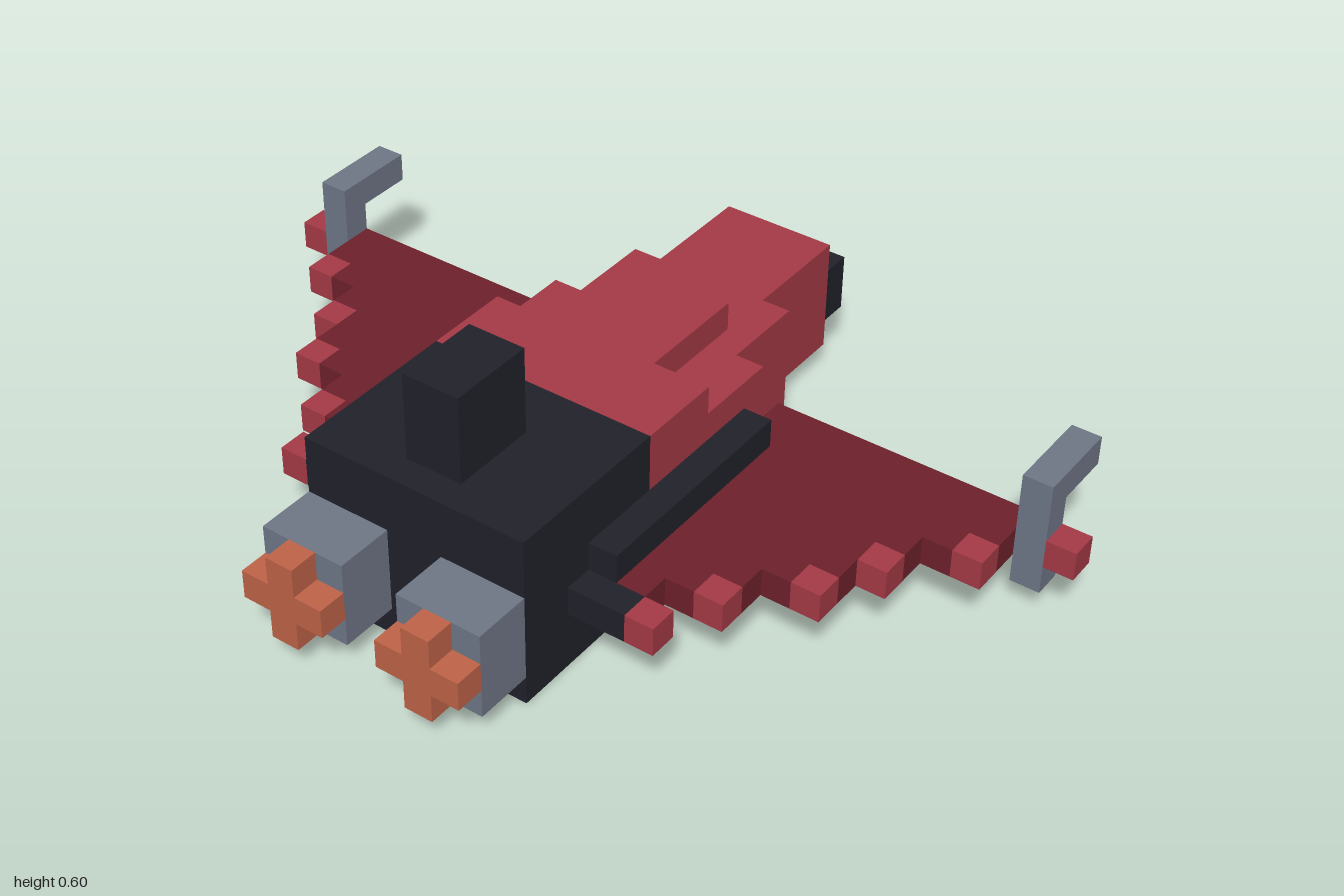
import * as THREE from 'three';

const U = 1 / 15; // one block of the grid

const mat = (name, color) => {
  const m = new THREE.MeshStandardMaterial({ color });
  m.name = name;
  return m;
};

export function createModel() {
  const red = mat('hull red', 0xa53a46);
  const darkRed = mat('wing dark red', 0x6e212b);
  const black = mat('charcoal', 0x21212b);
  const grey = mat('steel grey', 0x6f7787);
  const orange = mat('flame orange', 0xbf6348);

  const model = new THREE.Group();
  model.name = 'starship';

  // Box given by its limits in blocks
  const box = (name, material, [x0, x1], [y0, y1], [z0, z1], parent = model) => {
    const g = new THREE.BoxGeometry((x1 - x0) * U, (y1 - y0) * U, (z1 - z0) * U);
    g.translate((x0 + x1) / 2 * U, (y0 + y1) / 2 * U, (z0 + z1) / 2 * U);
    const mesh = new THREE.Mesh(g, material);
    mesh.name = name;
    parent.add(mesh);
  };

  // Hull, from the engine end to the nose
  box('engineBlock', black, [-4, 4], [0, 6], [2.5, 8.5]);
  box('fin', black, [-1, 1], [6, 9], [4.5, 7.5]);
  box('midHull', red, [-4, 4], [0, 6], [-0.5, 2.5]);
  box('foreHull', red, [-4, 4], [1, 5], [-3.5, -0.5]);
  box('neck', red, [-3, 3], [1, 5], [-6.5, -3.5]);
  box('nose', red, [-2, 2], [1, 5], [-10.5, -6.5]);
  box('canopy', red, [-2, 2], [5, 6], [-4.5, -0.5]);
  box('noseWindow', black, [-2, 2], [2, 4], [-11.5, -10.5]);
  box('noseSensor', grey, [-1, 1], [1, 2], [-11.5, -10.5]);

  // Wing outline: front edge of the dark plate as [outer x, z where it ends]
  const steps = [[13, -2.5], [12, -1.5], [11, -0.5], [10, 1.5], [9, 2.5], [8, 3.5], [7, 4.5], [6, 5.5]];
  // Bright blocks on the stepped edge: inner x, rear z
  const studs = [[14, -4.5], [12, -2.5], [10, -0.5], [9, 1.5], [7, 3.5], [6, 5.5]];

  for (const s of [1, -1]) {
    const side = new THREE.Group();
    side.name = s > 0 ? 'leftSide' : 'rightSide';
    model.add(side);
    const sideBox = (name, m, [x0, x1], y, z) =>
      box(name, m, s > 0 ? [x0, x1] : [-x1, -x0], y, z, side);

    // Wing plate
    const pts = [new THREE.Vector2(s * 4 * U, -4.5 * U)];
    let z = -4.5;
    for (const [x, zEnd] of steps) {
      pts.push(new THREE.Vector2(s * x * U, z * U), new THREE.Vector2(s * x * U, zEnd * U));
      z = zEnd;
    }
    pts.push(new THREE.Vector2(s * 4 * U, z * U));
    const plate = new THREE.ExtrudeGeometry(new THREE.Shape(pts), { depth: U, bevelEnabled: false });
    plate.rotateX(Math.PI / 2).translate(0, 3 * U, 0);
    const wing = new THREE.Mesh(plate, darkRed);
    wing.name = 'wing';
    side.add(wing);

    for (const [x, zr] of studs) sideBox('wingEdgeBlock', red, [x, x + 1], [2, 3], [zr, zr + 1]);
    sideBox('wingRootFront', black, [4, 6], [2, 3], [5.5, 6.5]);
    sideBox('wingRootRail', black, [4, 5], [3, 4], [-2.5, 5.5]);

    // Wingtip bracket
    sideBox('wingtipPost', grey, [13, 14], [1, 5], [-4.5, -3.5]);
    sideBox('wingtipArm', grey, [13, 14], [4, 5], [-6.5, -4.5]);

    // Engine with cross-shaped flame
    sideBox('engine', grey, [1, 4], [1, 4], [8.5, 10.5]);
    sideBox('flameUpright', orange, [2, 3], [1, 4], [10.5, 11.5]);
    sideBox('flameInner', orange, [1, 2], [2, 3], [10.5, 11.5]);
    sideBox('flameOuter', orange, [3, 4], [2, 3], [10.5, 11.5]);
  }

  return model;
}
